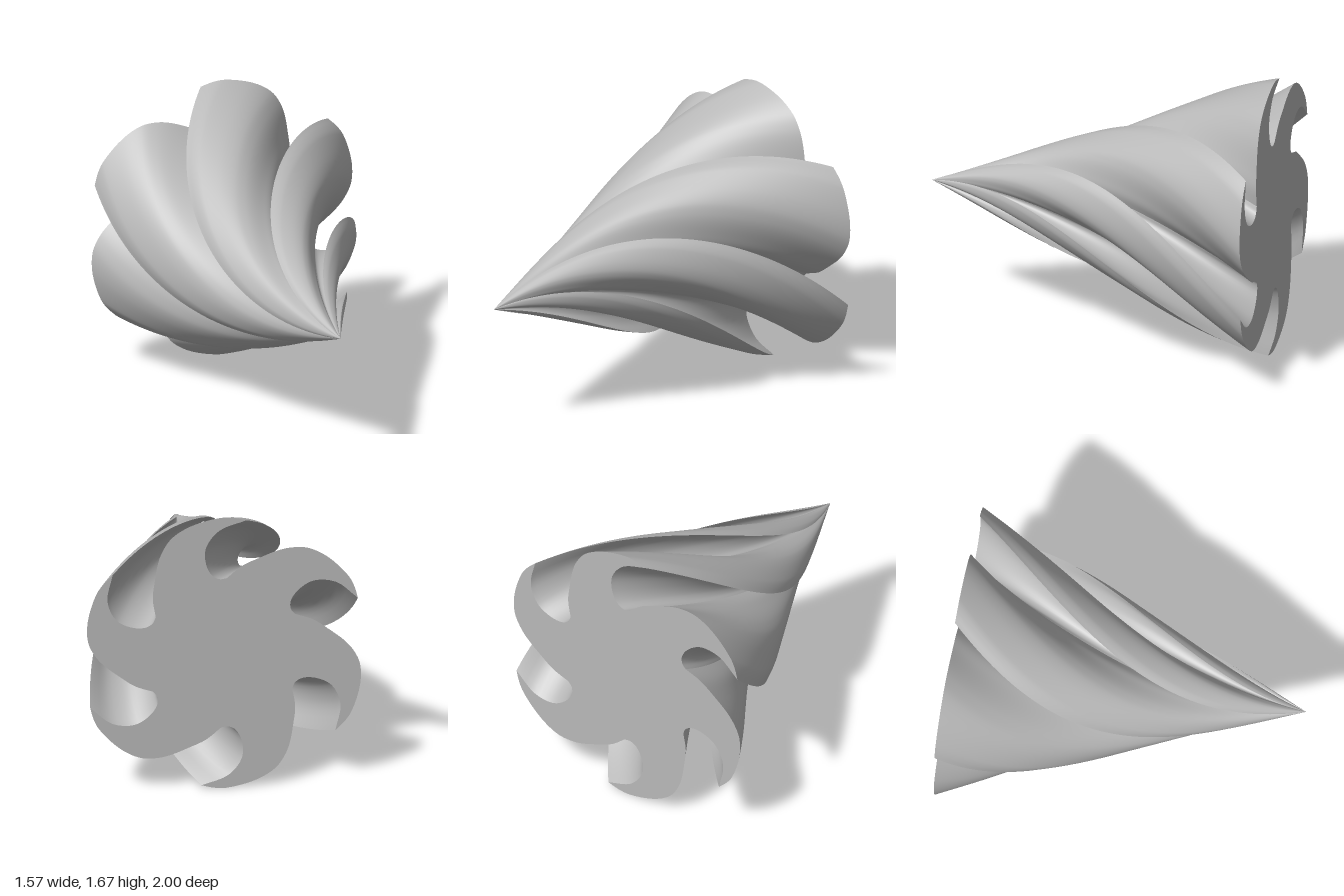
import * as THREE from 'three';

const LOBES = 6, CENTER_Y = 0.834, LENGTH = 2;
const TIP_ANGLE = 39, TWIST = 120; // degrees: lobe tip at the back, turn from back to point
const STEPS = 72;

// Polar profile (degrees from the lobe tip, radius) -> smooth list of points
function profile(polar, count) {
  const pts = polar.map(([deg, r]) => {
    const a = THREE.MathUtils.degToRad(deg);
    return new THREE.Vector3(r * Math.cos(a), r * Math.sin(a), 0);
  });
  return new THREE.CatmullRomCurve3(pts, false, 'centripetal').getPoints(count);
}

// Rounded back of a lobe, from its sharp tip down to the groove corner
const BACK = profile([[0, 0.82], [-5, 0.831], [-10, 0.834], [-22, 0.815], [-31, 0.785],
  [-37, 0.74], [-42, 0.69], [-50, 0.605], [-58, 0.54], [-67, 0.46]], 36);
// Hollow groove, from that corner up under the tip of the next lobe
const GROOVE = profile([[-67, 0.46], [-72, 0.456], [-77, 0.485], [-79.5, 0.56],
  [-78, 0.66], [-71, 0.755], [-60, 0.82]], 24);

// Sweep a profile from the point (s = 0) to the back (s = 1), growing and twisting
function sweep(points, turn) {
  const pos = [], index = [], n = points.length;
  for (let j = 0; j <= STEPS; j++) {
    const s = j / STEPS;
    const a = THREE.MathUtils.degToRad(turn + TIP_ANGLE + TWIST * (1 - s));
    const c = Math.cos(a) * s, d = Math.sin(a) * s;
    for (const p of points) {
      pos.push(p.x * c - p.y * d, p.x * d + p.y * c, LENGTH / 2 - LENGTH * s);
    }
  }
  for (let j = 0; j < STEPS; j++) {
    for (let i = 0; i < n - 1; i++) {
      const k = j * n + i;
      if (j > 0) index.push(k, k + 1, k + n);
      index.push(k + 1, k + n + 1, k + n);
    }
  }
  const g = new THREE.BufferGeometry();
  g.setAttribute('position', new THREE.Float32BufferAttribute(pos, 3));
  g.setIndex(index);
  g.computeVertexNormals();
  return g;
}

export function createModel() {
  const grey = new THREE.MeshStandardMaterial({ color: 0xb8b8b8 });
  grey.name = 'light grey';
  const model = new THREE.Group();
  model.name = 'twistedCone';
  const body = new THREE.Group();
  body.name = 'body';
  body.position.y = CENTER_Y;
  model.add(body);

  const add = (name, geometry) => {
    const mesh = new THREE.Mesh(geometry, grey);
    mesh.name = name;
    body.add(mesh);
    return mesh;
  };

  // Lobes and grooves around the axis, collecting the outline of the flat end
  const outline = [];
  for (let i = 0; i < LOBES; i++) {
    const turn = -i * 360 / LOBES;
    add('lobe' + (i + 1), sweep(BACK, turn));
    add('groove' + (i + 1), sweep(GROOVE, turn));
    const a = THREE.MathUtils.degToRad(turn + TIP_ANGLE);
    for (const p of [...BACK.slice(0, -1), ...GROOVE.slice(0, -1)]) {
      // Mirrored in x, since the end plate is turned to face backwards
      outline.push(new THREE.Vector2(
        -(p.x * Math.cos(a) - p.y * Math.sin(a)),
        p.x * Math.sin(a) + p.y * Math.cos(a)));
    }
  }

  // Flat end plate
  const plate = add('endPlate', new THREE.ShapeGeometry(new THREE.Shape(outline)));
  plate.rotation.y = Math.PI;
  plate.position.z = -LENGTH / 2;

  return model;
}
